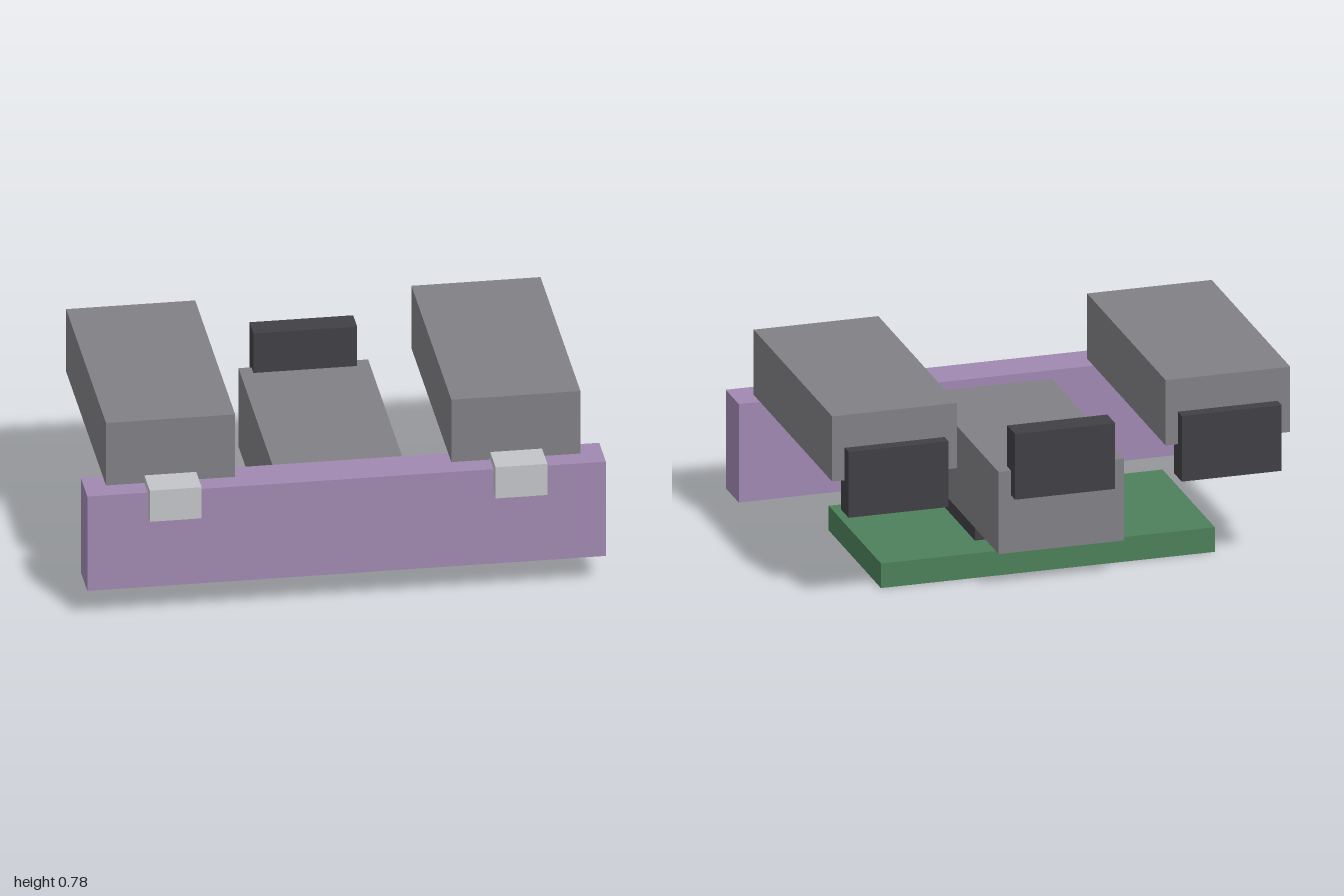
import * as THREE from 'three';

const material = (name, color) => {
  const m = new THREE.MeshStandardMaterial({ color });
  m.name = name;
  return m;
};

export function createModel() {
  const grey = material('grey', 0x808085);
  const dark = material('darkGrey', 0x404045);
  const light = material('lightGrey', 0xc2c4c8);
  const purple = material('purple', 0xa088b0);
  const green = material('green', 0x4d805a);
  const model = new THREE.Group();
  model.name = 'model';

  // Box given by its [min, max] extent on each axis
  const box = (name, mat, [x0, x1], [y0, y1], [z0, z1]) => {
    const mesh = new THREE.Mesh(new THREE.BoxGeometry(x1 - x0, y1 - y0, z1 - z0), mat);
    mesh.position.set((x0 + x1) / 2, (y0 + y1) / 2, (z0 + z1) / 2);
    mesh.name = name;
    model.add(mesh);
  };

  // Base plate and the short mount above it
  box('basePlate', green, [-0.667, 0.667], [0, 0.1], [-0.373, 0.293]);
  box('mount', dark, [-0.25, 0.25], [0.1, 0.152], [-0.24, 0.16]);

  // Central body with its rear plate, and the wide front bar
  box('centralBody', grey, [-0.25, 0.25], [0.152, 0.485], [-0.543, 0.377]);
  box('centralRearPlate', dark, [-0.2, 0.2], [0.385, 0.652], [-0.593, -0.493]);
  box('frontBar', purple, [-1, 1], [0.12, 0.52], [0.377, 0.543]);

  // Side blocks, each with a rear plate and a front clip
  for (const [side, s] of [['left', 1], ['right', -1]]) {
    const span = (a, b) => (s > 0 ? [a, b] : [-b, -a]);
    box(side + 'Block', grey, span(0.417, 0.915), [0.52, 0.785], [-0.543, 0.458]);
    box(side + 'RearPlate', dark, span(0.466, 0.865), [0.385, 0.652], [-0.593, -0.493]);
    box(side + 'FrontClip', light, span(0.567, 0.767), [0.42, 0.552], [0.458, 0.593]);
  }
  return model;
}
